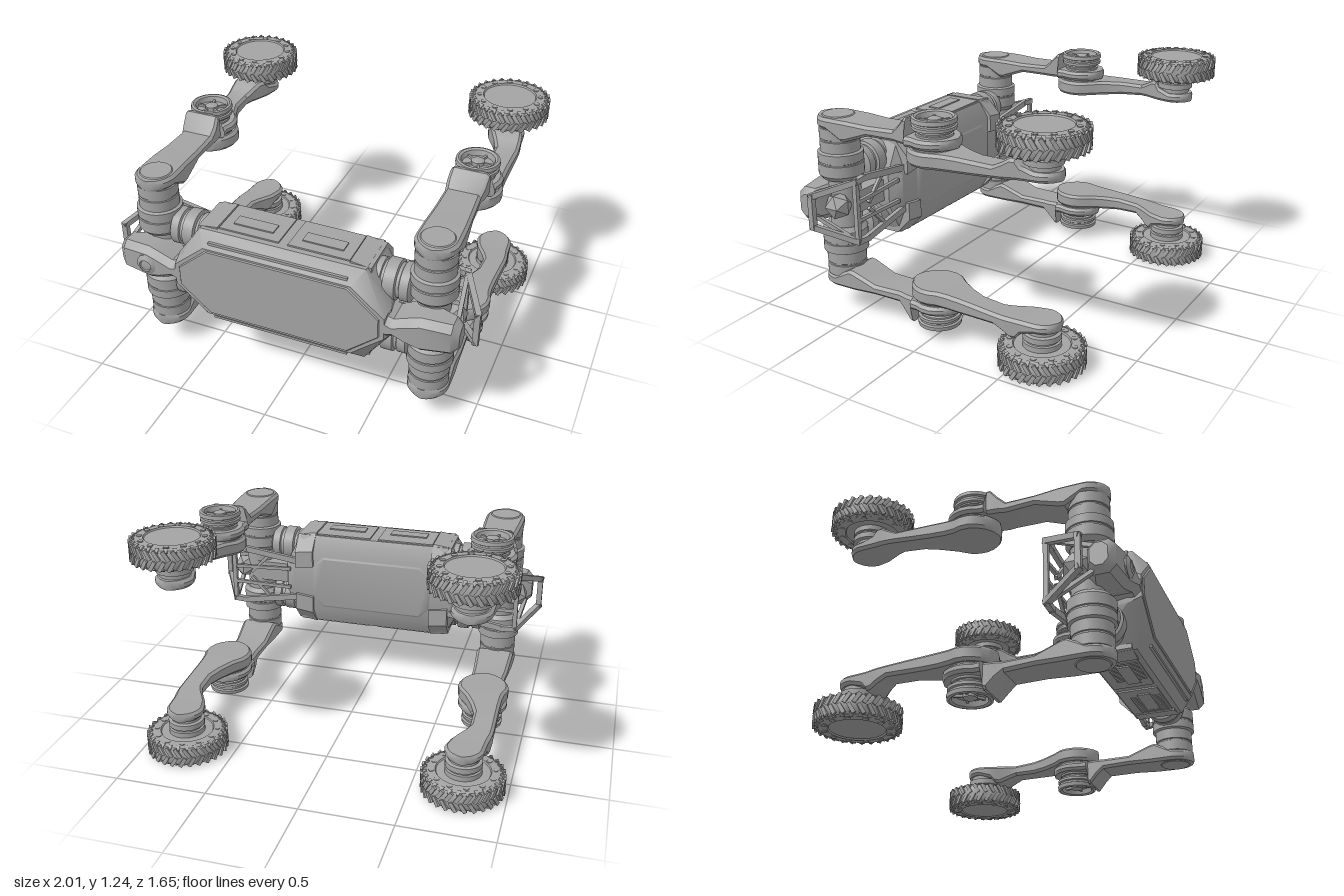
import * as THREE from 'three';
import { mergeGeometries, toCreasedNormals } from 'three/addons/utils/BufferGeometryUtils.js';
import { ConvexGeometry } from 'three/addons/geometries/ConvexGeometry.js';

const grey = new THREE.MeshStandardMaterial({ color: 0xa3a3a3 });
grey.name = 'grey metal';

// Bake a mirror into a geometry, keeping the faces pointing outward
function finish(geo, sx = 1, sy = 1) {
  const g = geo.index ? geo.toNonIndexed() : geo.clone();
  g.scale(sx, sy, 1);
  if (sx * sy < 0) {
    const p = g.attributes.position, a = new THREE.Vector3(), b = new THREE.Vector3();
    for (let i = 0; i < p.count; i += 3) {
      a.fromBufferAttribute(p, i + 1); b.fromBufferAttribute(p, i + 2);
      p.setXYZ(i + 1, b.x, b.y, b.z); p.setXYZ(i + 2, a.x, a.y, a.z);
    }
  }
  g.deleteAttribute('normal');
  g.computeVertexNormals();
  return toCreasedNormals(g, 0.6);
}

// Chamfered box sections [z, centre x, half width, bottom, top], from high z to low z
function loft(sections, bevel = 0.015) {
  const pos = [], idx = [];
  for (const [z, cx, w, b, t] of sections) {
    const c = Math.min(bevel, w * 0.6, (t - b) * 0.4);
    const ring = [[w, b + c], [w, t - c], [w - c, t], [c - w, t], [-w, t - c], [-w, b + c], [c - w, b], [w - c, b]];
    for (const [x, y] of ring) pos.push(cx + x, y, z);
  }
  const last = (sections.length - 1) * 8;
  for (let i = 0; i < last; i += 8) for (let j = 0; j < 8; j++) {
    const a = i + j, b = i + (j + 1) % 8;
    idx.push(a, a + 8, b, b, a + 8, b + 8);
  }
  for (let j = 1; j < 7; j++) idx.push(0, j, j + 1, last, last + j + 1, last + j);
  const g = new THREE.BufferGeometry();
  g.setAttribute('position', new THREE.Float32BufferAttribute(pos, 3));
  g.setIndex(idx);
  return g;
}

// Solid turned about y; profile points are [radius, height] from bottom to top
const turned = (pts, n = 40) => new THREE.LatheGeometry(pts.map(([r, y]) => new THREE.Vector2(r, y)), n);
const box = (w, h, d, x, y, z) => new THREE.BoxGeometry(w, h, d).translate(x, y, z);

function bar(p, q, w, d) {
  const a = new THREE.Vector3(...p), b = new THREE.Vector3(...q);
  const m = new THREE.Matrix4().lookAt(b, a, new THREE.Vector3(0, 1, 0.01));
  m.setPosition(a.clone().add(b).multiplyScalar(0.5));
  return new THREE.BoxGeometry(w, d, a.distanceTo(b) + w * 0.8).applyMatrix4(m);
}

// Sections following a round end: centre (cx, cz), radius r, between two angles
function roundEnd(cx, cz, r, from, to, b, t) {
  return Array.from({ length: 7 }, (_, i) => {
    const a = from + (to - from) * i / 6;
    return [cz + r * Math.cos(a), cx, Math.max(r * Math.sin(a), 0.02), b, t];
  });
}

function wheelParts() {
  const tyre = turned([[0, 0.508], [0.14, 0.508], [0.145, 0.5], [0.165, 0.503], [0.185, 0.502], [0.2, 0.508], [0.21, 0.525],
    [0.213, 0.56], [0.21, 0.595], [0.2, 0.612], [0.185, 0.618], [0.165, 0.615], [0.145, 0.62], [0.14, 0.612], [0, 0.612]], 56);
  const treads = [], bolts = [];
  for (let i = 0; i < 28; i++) for (const s of [-1, 1]) {
    const a = (i + s * 0.25) * Math.PI / 14;
    const lug = new THREE.BoxGeometry(0.012, 0.058, 0.02).rotateX(s * 0.55).translate(0.2135, 0.56 + s * 0.027, 0);
    const shoulder = new THREE.BoxGeometry(0.028, 0.01, 0.018).rotateZ(-s * 0.55).translate(0.2, 0.56 + s * 0.05, 0);
    treads.push(lug.rotateY(a), shoulder.rotateY(a));
  }
  for (let i = 0; i < 12; i++) for (const y of [0.505, 0.615])
    bolts.push(new THREE.CylinderGeometry(0.015, 0.015, 0.012, 10).translate(0.165, y, 0).rotateY((i + 0.5) * Math.PI / 6));
  return { tyre, treads: mergeGeometries(treads), wheelBolts: mergeGeometries(bolts),
    wheelHub: turned([[0, 0.4], [0.08, 0.4], [0.08, 0.43], [0.097, 0.435], [0.097, 0.465], [0.085, 0.468], [0.085, 0.478], [0.097, 0.48], [0.097, 0.51], [0, 0.51]]) };
}

// One leg: upper left corner of the machine, heights measured from the body axis
function legParts() {
  const parts = {};
  const H = Math.PI / 2;
  parts.hipHousing = turned([[0, 0.13], [0.1, 0.13], [0.12, 0.155], [0.12, 0.215], [0.115, 0.218], [0.115, 0.225], [0.12, 0.228],
    [0.12, 0.275], [0.105, 0.282], [0.105, 0.34], [0.1, 0.343], [0.1, 0.35], [0.105, 0.353], [0.105, 0.41], [0, 0.41]]).translate(0.757, 0, 0.615);
  parts.hipMotor = turned([[0, 0.42], [0.095, 0.42], [0.095, 0.5], [0.085, 0.503], [0.085, 0.515], [0.105, 0.52], [0.105, 0.58],
    [0.09, 0.585], [0.09, 0.6], [0.1, 0.605], [0.1, 0.65], [0, 0.7]]).rotateZ(-H).translate(0, 0.165, 0.61);
  // upper link with the wedge that shields the knee
  parts.thigh = loft([...roundEnd(0.757, 0.615, 0.11, 0.15, H, 0.41, 0.47),
    [0.52, 0.757, 0.108, 0.36, 0.47], [0.49, 0.757, 0.107, 0.365, 0.47], [0.36, 0.755, 0.1, 0.412, 0.465],
    [0.2, 0.752, 0.093, 0.412, 0.47], [0.16, 0.755, 0.1, 0.412, 0.505], [0.12, 0.76, 0.1, 0.412, 0.55], [0.105, 0.762, 0.1, 0.412, 0.55],
    [0.1, 0.763, 0.125, 0.412, 0.465], ...roundEnd(0.765, 0, 0.137, H * 0.7, Math.PI - 0.15, 0.415, 0.465)]);
  parts.thighEndCap = turned([[0, 0.465], [0.09, 0.465], [0.08, 0.475], [0, 0.475]]).translate(0.757, 0, 0.615);
  parts.knee = turned([[0, 0.39], [0.115, 0.39], [0.115, 0.46], [0.095, 0.465], [0.095, 0.475], [0.085, 0.477], [0.085, 0.485], [0.1, 0.488], [0.1, 0.496], [0.112, 0.5],
    [0.112, 0.515], [0.104, 0.52], [0.104, 0.53], [0.115, 0.535], [0.112, 0.556], [0.1, 0.56], [0.088, 0.553], [0.08, 0.525], [0, 0.525]]).translate(0.765, 0, 0);
  const spokes = [turned([[0, 0.52], [0.035, 0.52], [0.035, 0.545], [0.025, 0.55], [0, 0.55]], 20)];
  for (let i = 0; i < 5; i++) spokes.push(box(0.06, 0.015, 0.012, 0.05, 0.53, 0).rotateY(i * Math.PI * 0.4));
  parts.kneeSpokes = mergeGeometries(spokes.map(g => g.toNonIndexed())).translate(0.765, 0, 0);
  // lower link, waisted on its inner side
  parts.shank = loft([...roundEnd(0.765, 0, 0.14, 0.15, H * 1.3, 0.325, 0.405),
    [-0.12, 0.784, 0.1, 0.327, 0.408], [-0.2, 0.805, 0.078, 0.332, 0.41], [-0.28, 0.82, 0.064, 0.338, 0.41], [-0.4, 0.822, 0.064, 0.348, 0.41],
    [-0.45, 0.81, 0.075, 0.352, 0.435], [-0.49, 0.795, 0.085, 0.355, 0.46], [-0.515, 0.785, 0.09, 0.357, 0.46], [-0.54, 0.777, 0.095, 0.358, 0.43],
    ...roundEnd(0.765, -0.61, 0.102, H, Math.PI - 0.15, 0.36, 0.41)]);
  for (const [name, g] of Object.entries(wheelParts())) parts[name] = g.translate(0.765, 0, -0.61);
  return parts;
}

// Guard, nose and core at one end of the body
function endParts() {
  const parts = {};
  const nose = [[0.935, 0.71, 0.045, 0.06], [0.9, 0.715, 0.07, 0.09], [0.75, 0.705, 0.1, 0.1], [0.68, 0.705, 0.105, 0.08],
    [0.61, 0.71, 0.1, 0.052], [0.56, 0.71, 0.1, 0.07], [0.5, 0.71, 0.1, 0.12]];
  parts.nose = loft(nose.map(([x, z, d, h]) => [x, -z, d, -h, h]), 0.035).rotateY(Math.PI / 2);
  parts.hipCore = turned([[0, -0.15], [0.085, -0.15], [0.085, 0.15], [0, 0.15]], 24).translate(0.757, 0, 0.6);
  parts.endKnob = new THREE.IcosahedronGeometry(0.075, 0).translate(0.85, 0, 0.57);
  parts.coreBeam = box(0.3, 0.12, 0.14, 0.6, 0, 0.58);
  const loop = [[0.8, 0.17, 0.43], [0.87, 0.165, 0.43], [0.985, 0.085, 0.63], [0.985, -0.085, 0.63], [0.87, -0.165, 0.43], [0.8, -0.17, 0.43]];
  const bars = loop.slice(1).map((p, i) => bar(loop[i], p, 0.03, 0.03));
  bars.push(bar([0.87, -0.16, 0.43], [0.87, 0.16, 0.43], 0.025, 0.025));
  for (const s of [-1, 1]) {
    bars.push(bar([0.48, s * 0.12, 0.44], [0.8, s * 0.17, 0.43], 0.025, 0.035));
    bars.push(bar([0.52, s * 0.06, 0.44], [0.87, s * 0.05, 0.43], 0.02, 0.02));
    bars.push(bar([0.87, s * 0.17, 0.43], [0.91, s * 0.04, 0.74], 0.022, 0.022));
    bars.push(bar([0.64, s * 0.145, 0.44], [0.76, s * 0.02, 0.44], 0.018, 0.018));
  }
  parts.endGuard = mergeGeometries(bars);
  return parts;
}

// Eight points of a body outline with clipped corners
function outline(xa, xb, ya, yb, z) {
  const pts = [];
  for (const sx of [-1, 1]) for (const sy of [-1, 1])
    pts.push(new THREE.Vector3(sx * xa, sy * yb, z), new THREE.Vector3(sx * xb, sy * ya, z));
  return pts;
}

export function createModel() {
  const model = new THREE.Group();
  model.name = 'wheeledLegRobot';
  const add = (parent, name, geo, sx, sy) => {
    const mesh = new THREE.Mesh(finish(geo, sx, sy), grey);
    mesh.name = name;
    parent.add(mesh);
  };
  const group = (name) => {
    const g = new THREE.Group();
    g.name = name;
    g.position.y = 0.62;
    model.add(g);
    return g;
  };

  // Body shell and its panels
  const body = group('body');
  add(body, 'shell', new ConvexGeometry([...outline(0.45, 0.585, 0.09, 0.278, 0.74), ...outline(0.4, 0.575, 0.06, 0.21, 0.812),
    ...outline(0.45, 0.545, 0.09, 0.278, 0.48), ...outline(0.4, 0.49, 0.07, 0.19, 0.425)]));
  add(body, 'frontPanel', new ConvexGeometry([...outline(0.385, 0.55, 0.055, 0.2, 0.812), ...outline(0.38, 0.545, 0.053, 0.195, 0.818)]));
  add(body, 'rearPanel', new ConvexGeometry([...outline(0.3, 0.36, 0.1, 0.16, 0.425), ...outline(0.29, 0.35, 0.095, 0.15, 0.418)]));
  for (const sx of [-1, 1]) for (const sy of [-1, 1]) {
    add(body, 'sidePanel', box(0.33, 0.012, 0.22, 0.19, 0.28, 0.6), sx, sy);
    add(body, 'panelHandle', box(0.22, 0.012, 0.07, 0.19, 0.287, 0.62), sx, sy);
    add(body, 'endFairing', new ConvexGeometry([0.36, 0.47].flatMap(x => [[0.29, 0.72], [0.29, 0.49], [0.2, 0.405], [0.1, 0.405], [0.1, 0.72]]
      .map(([y, z]) => new THREE.Vector3(x, y - (x > 0.4 ? 0.015 : 0), z)))), sx, sy);
  }
  add(body, 'edgeRail', bar([-0.37, 0.235, 0.79], [0.37, 0.235, 0.79], 0.014, 0.014));
  add(body, 'edgeRail', bar([-0.37, -0.235, 0.79], [0.37, -0.235, 0.79], 0.014, 0.014));
  const fins = [];
  for (let i = 0; i < 14; i++) for (const s of [-1, 1]) fins.push(box(0.007, 0.022, 0.16, s * (0.12 + i * 0.016), -0.279, 0.62));
  add(body, 'coolingFins', mergeGeometries(fins));
  add(body, 'camera', turned([[0, 0], [0.06, 0], [0.06, 0.02], [0.035, 0.035], [0.03, 0.03], [0, 0.03]], 10).rotateX(Math.PI / 2).translate(-0.755, 0, 0.785));

  // Mirrored ends and legs
  for (const sx of [1, -1]) {
    const side = sx > 0 ? 'left' : 'right';
    const end = group(side + 'End');
    for (const [name, g] of Object.entries(endParts())) add(end, name, g, sx, 1);
    for (const sy of [1, -1]) {
      const leg = group(side + (sy > 0 ? 'Upper' : 'Lower') + 'Leg');
      for (const [name, g] of Object.entries(legParts())) add(leg, name, g, sx, sy);
    }
  }
  return model;
}
